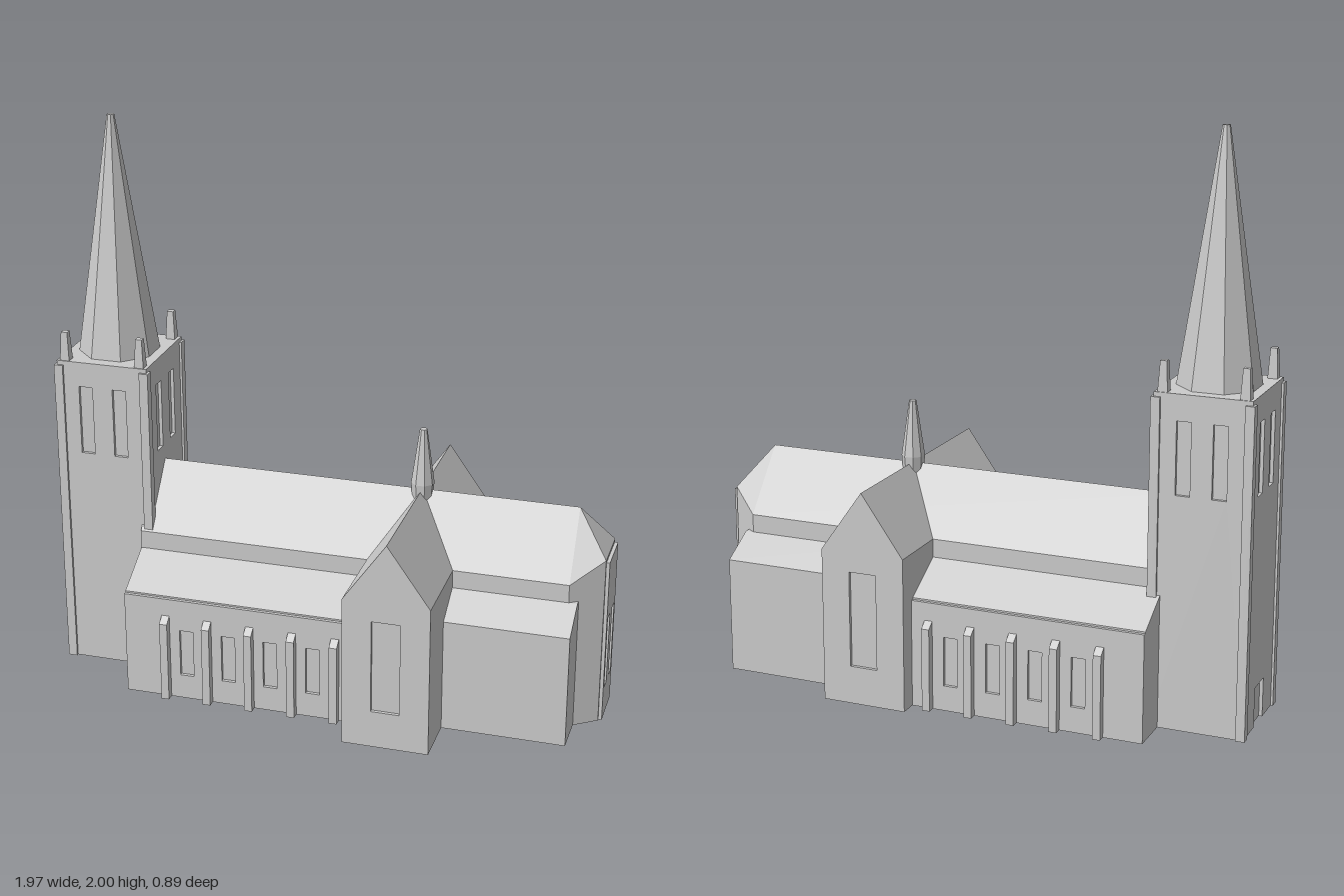
import * as THREE from 'three';
import { ConvexGeometry } from 'three/addons/geometries/ConvexGeometry.js';

const stone = new THREE.MeshStandardMaterial({ color: 0xcccccc });
stone.name = 'paleStone';

const AXIS = -0.035;   // z of the nave ridge
const EAVE = 0.545, RIDGE = 0.76;
const REVEAL = 0.012;  // depth of window recesses

export function createModel() {
  const model = new THREE.Group();
  model.name = 'church';

  function add(name, geometry, x = 0, y = 0, z = 0, rotY = 0, parent = model) {
    const flat = geometry.index ? geometry.toNonIndexed() : geometry;
    flat.computeVertexNormals();
    const mesh = new THREE.Mesh(flat, stone);
    mesh.name = name;
    mesh.position.set(x, y, z);
    mesh.rotation.y = rotY;
    parent.add(mesh);
    return mesh;
  }

  // Box given by its two corners
  function block(name, x0, x1, y0, y1, z0, z1, parent) {
    return add(name, new THREE.BoxGeometry(x1 - x0, y1 - y0, z1 - z0),
      (x0 + x1) / 2, (y0 + y1) / 2, (z0 + z1) / 2, 0, parent);
  }

  const shapeOf = (pts) => new THREE.Shape(pts.map(([x, y]) => new THREE.Vector2(x, y)));
  const extrude = (shape, depth) => new THREE.ExtrudeGeometry(shape, { depth, bevelEnabled: false });
  const rect = (w, h) => [[-w / 2, 0], [w / 2, 0], [w / 2, h], [-w / 2, h]];

  // Prism running along x, from a profile of [z, y] points
  function prismX(name, profile, x0, x1) {
    const pts = profile.map(([z, y]) => [-z, y]);
    const geo = extrude(shapeOf(pts), x1 - x0);
    geo.rotateY(Math.PI / 2);
    return add(name, geo, x0);
  }

  // Thin outer wall with window openings [centre, bottom, width, height]
  function windowWall(name, outline, windows, x, z, rotY, parent) {
    const shape = shapeOf(outline);
    for (const [c, y, w, h] of windows) {
      const hole = new THREE.Path();
      hole.moveTo(c - w / 2, y);
      hole.lineTo(c - w / 2, y + h);
      hole.lineTo(c + w / 2, y + h);
      hole.lineTo(c + w / 2, y);
      hole.closePath();
      shape.holes.push(hole);
    }
    return add(name, extrude(shape, REVEAL), x, 0, z, rotY, parent);
  }

  // Nave and chancel, ending in a chamfered apse with a hipped roof
  const end = 0.98 - REVEAL, pts = [];
  const point = (x, y, z) => pts.push(new THREE.Vector3(x, y, AXIS + z));
  point(-0.68, RIDGE, 0);
  point(0.857, RIDGE, 0);
  for (const s of [1, -1]) {
    for (const x of [-0.68, 0.86]) {
      point(x, 0, 0.17 * s);
      point(x, EAVE, 0.17 * s);
    }
    point(end, 0, 0.092 * s);
    point(end, 0.615, 0.092 * s);
  }
  add('nave', new ConvexGeometry(pts));
  windowWall('apseEndWall', rect(0.17, 0.605),
    [[-0.043, 0.12, 0.042, 0.265], [0.045, 0.12, 0.042, 0.265]], end, AXIS, Math.PI / 2);

  // Transept with a gable window at each end
  const gable = [[-0.152, 0], [0.152, 0], [0.152, EAVE], [0, RIDGE], [-0.152, EAVE]];
  const transeptEnd = 0.447 - REVEAL;
  add('transept', extrude(shapeOf(gable), 2 * transeptEnd), 0.305, 0, -transeptEnd);

  for (const s of [1, -1]) {
    const rotY = s > 0 ? 0 : Math.PI;
    const side = s > 0 ? 'front' : 'back';
    windowWall(side + 'TranseptGable', gable, [[0, 0.135, 0.1, 0.34]], 0.305, s * transeptEnd, rotY);

    // Lean-to aisles beside the nave and chancel
    const lean = (outer, low) => {
      const p = [[0, 0], [outer, 0], [outer, low], [0.17, 0.48], [0, 0.48]];
      return p.map(([z, y]) => [AXIS + s * z, y]);
    };
    prismX(side + 'Aisle', lean(0.347 - REVEAL, 0.387), -0.68, 0.2);
    prismX(side + 'ChancelAisle', lean(0.294, 0.41), 0.4, 0.89);

    const aisleWindows = [-0.19, -0.036, 0.117, 0.272].map((x) => [s * x, 0.09, 0.05, 0.175]);
    windowWall(side + 'AisleWall', rect(0.835, 0.381), aisleWindows,
      -0.2625, AXIS + s * (0.347 - REVEAL), rotY);

    // Aisle buttresses with sloping tops
    const zIn = AXIS + s * 0.34, zOut = AXIS + s * 0.375;
    for (let i = 0; i < 5; i++) {
      const x = -0.528 + i * 0.1545;
      prismX(side + 'AisleButtress', [[zIn, 0], [zOut, 0], [zOut, 0.295], [zIn, 0.322]],
        x - 0.014, x + 0.014);
    }
  }

  // Tower with paired belfry windows on every side
  const tower = new THREE.Group();
  tower.name = 'tower';
  tower.position.set(-0.811, 0, -0.055);
  model.add(tower);
  const hx = 0.166, hz = 0.176, top = 1.155;
  const ix = hx - REVEAL, iz = hz - REVEAL;
  block('towerCore', -ix, ix, 0, top, -iz, iz, tower);
  const belfry = [-0.062, 0.062].map((c) => [c, 0.815, 0.05, 0.25]);
  windowWall('towerFrontWall', rect(2 * hx, top), belfry, 0, iz, 0, tower);
  windowWall('towerBackWall', rect(2 * hx, top), belfry, 0, -iz, Math.PI, tower);
  windowWall('towerEastWall', rect(2 * iz, top), belfry, ix, 0, Math.PI / 2, tower);
  // West wall, with a doorway cut up from the ground
  const doorWall = [[-iz, 0], [-0.05, 0], [-0.05, 0.14], [0.05, 0.14], [0.05, 0],
    [iz, 0], [iz, top], [-iz, top]];
  windowWall('towerDoorWall', doorWall, belfry, -ix, 0, -Math.PI / 2, tower);

  // Corner buttresses and pinnacles
  for (const sx of [1, -1]) {
    for (const sz of [1, -1]) {
      add('towerButtress', new THREE.BoxGeometry(0.032, 1.14, 0.032),
        sx * 0.158, 0.57, sz * 0.169, 0, tower);
      const pinnacle = new THREE.CylinderGeometry(0.016, 0.025, 0.115, 4);
      pinnacle.rotateY(Math.PI / 4);
      add('pinnacle', pinnacle, sx * 0.138, 1.2, sz * 0.155, 0, tower);
    }
  }

  // Eight-sided main spire, flat faces to the front and sides
  const spire = new THREE.CylinderGeometry(0.013, 0.142, 2 - top, 8);
  spire.rotateY(Math.PI / 8);
  add('spire', spire, 0, (2 + top) / 2, 0, 0, tower);

  // Small spirelet over the crossing
  const profile = [[0, 0.7], [0.034, 0.7], [0.041, 0.785], [0.013, 0.983], [0, 0.983]];
  const spirelet = new THREE.LatheGeometry(profile.map(([r, y]) => new THREE.Vector2(r, y)), 8);
  spirelet.rotateY(Math.PI / 8);
  add('crossingSpirelet', spirelet, 0.305, 0, AXIS);

  return model;
}
